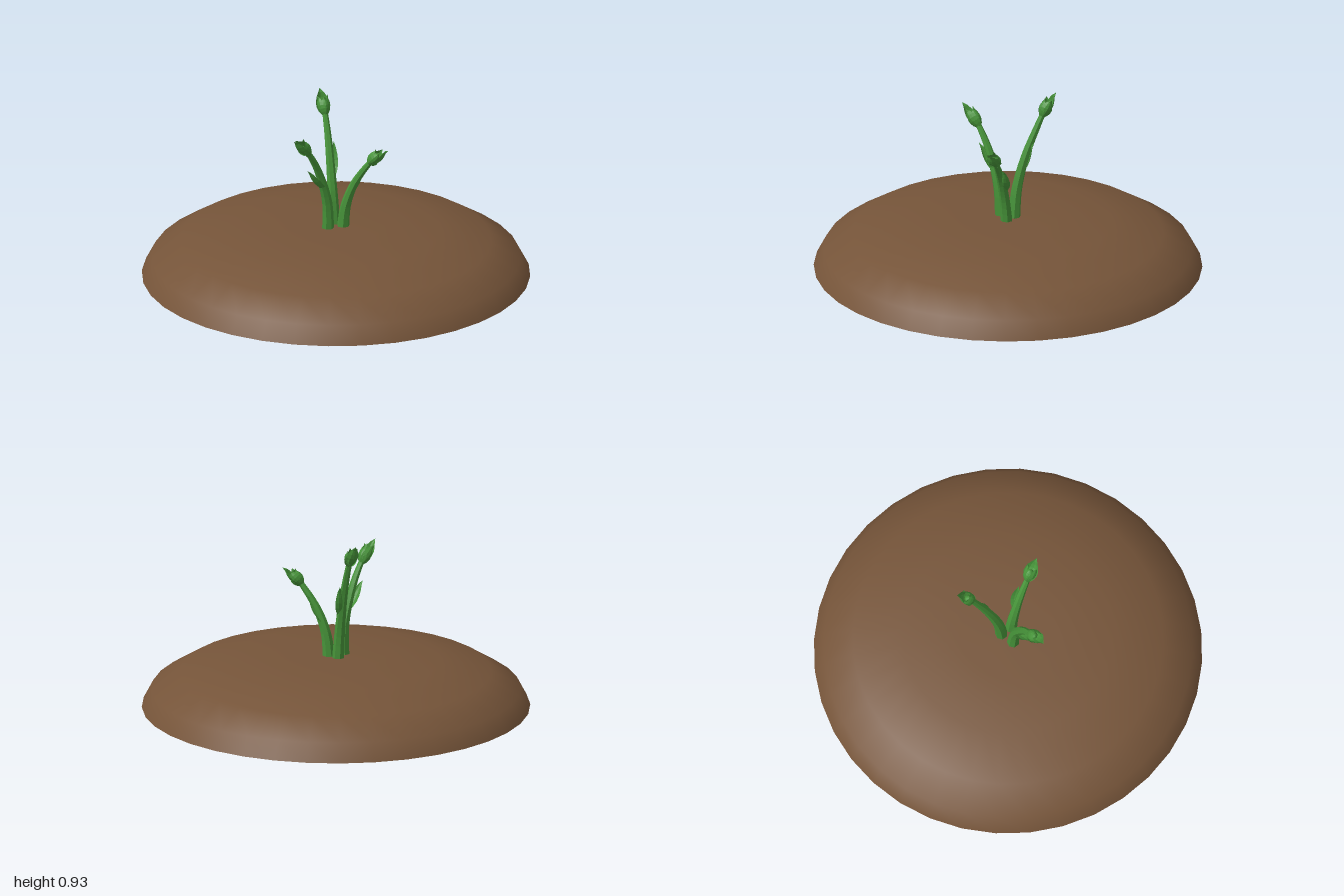
import * as THREE from 'three';

const soil = new THREE.MeshStandardMaterial({ color: 0x755439 });
soil.name = 'soil brown';
const green = new THREE.MeshStandardMaterial({ color: 0x469339, flatShading: true, side: THREE.DoubleSide });
green.name = 'sprout green';

const V = (a) => new THREE.Vector3(...a);

function add(parent, name, geometry, material) {
  const mesh = new THREE.Mesh(geometry, material);
  mesh.name = name;
  parent.add(mesh);
  return mesh;
}

// Pointed blade growing up y, bulging towards +z and cupped across its width
function bladeGeometry(length, width, base, bulge, flare) {
  const g = new THREE.PlaneGeometry(2, 1, 4, 6);
  const p = g.attributes.position;
  for (let i = 0; i < p.count; i++) {
    const u = p.getX(i), t = p.getY(i) + 0.5;
    const w = width * (0.5 * (1 - t) + 0.95 * Math.sin(Math.PI * Math.pow(t, 0.85)));
    const z = base + bulge * Math.sin(Math.PI * Math.min(1, t * 1.15)) + flare * t * t;
    p.setXYZ(i, u * w, t * length, z - 0.6 * u * u * w);
  }
  g.computeVertexNormals();
  return g;
}

// Tube narrowing towards its far end
function stemGeometry(curve, r0, r1) {
  const n = 12, sides = 7;
  const g = new THREE.TubeGeometry(curve, n, r0, sides);
  const p = g.attributes.position, v = new THREE.Vector3();
  for (let i = 0; i < p.count; i++) {
    const t = Math.floor(i / (sides + 1)) / n;
    const c = curve.getPointAt(t);
    v.fromBufferAttribute(p, i).sub(c).multiplyScalar(1 + (r1 / r0 - 1) * t).add(c);
    p.setXYZ(i, v.x, v.y, v.z);
  }
  g.computeVertexNormals();
  return g;
}

// Turn an object so its y follows the axis and its z leans outward
function orient(object, at, axis, outward) {
  const y = axis.clone().normalize();
  const z = outward.clone().addScaledVector(y, -outward.dot(y)).normalize();
  const x = new THREE.Vector3().crossVectors(y, z);
  object.quaternion.setFromRotationMatrix(new THREE.Matrix4().makeBasis(x, y, z));
  object.position.copy(at);
}

function createBud(length) {
  const bud = new THREE.Group();
  bud.name = 'bud';
  // one tall outer petal, two shorter side petals and a small inner one
  const petals = [[0, 1, 0.031], [1.75, 0.72, 0.026], [-1.75, 0.72, 0.026], [Math.PI, 0.65, 0.022]];
  for (const [angle, scale, width] of petals) {
    const flare = angle === 0 ? 0.006 : 0.02;
    add(bud, 'petal', bladeGeometry(length * scale, width, 0.012, 0.018, flare), green).rotation.y = angle;
  }
  const core = add(bud, 'budCore', new THREE.SphereGeometry(0.024, 7, 5), green);
  core.scale.y = 1.5;
  core.position.y = 0.035;
  return bud;
}

// Stem path, bud tip, and the base and tip of the side leaf
const sprouts = [
  {
    path: [[-0.01, 0.24, -0.03], [-0.02, 0.42, -0.045], [-0.035, 0.6, -0.09], [-0.05, 0.73, -0.14], [-0.064, 0.82, -0.178]],
    tip: [-0.088, 0.935, -0.232], leaf: [[-0.025, 0.5, -0.065], [-0.015, 0.68, -0.13]],
  },
  {
    path: [[0.035, 0.24, 0.005], [0.05, 0.38, 0.015], [0.09, 0.5, 0.03], [0.135, 0.58, 0.045], [0.18, 0.645, 0.06]],
    tip: [0.26, 0.73, 0.082], leaf: [[0.075, 0.45, 0.015], [0.145, 0.59, 0.02]],
  },
  {
    path: [[-0.04, 0.24, 0.035], [-0.045, 0.42, 0.05], [-0.08, 0.58, 0.09], [-0.11, 0.67, 0.125], [-0.138, 0.73, 0.155]],
    tip: [-0.2, 0.835, 0.23], leaf: [[-0.06, 0.49, 0.065], [-0.14, 0.63, 0.15]],
  },
];

function createSprout({ path, tip, leaf }) {
  const sprout = new THREE.Group();
  sprout.name = 'sprout';
  const curve = new THREE.CatmullRomCurve3(path.map(V));
  add(sprout, 'stem', stemGeometry(curve, 0.033, 0.015), green);

  const end = V(path[path.length - 1]), axis = V(tip).sub(end);
  const outward = axis.clone().setY(0);
  const bud = createBud(axis.length() + 0.015);
  orient(bud, end.addScaledVector(axis, -0.1), axis, outward);
  sprout.add(bud);

  const root = V(leaf[0]), lean = V(leaf[1]).sub(root);
  const blade = add(sprout, 'leaf', bladeGeometry(lean.length(), 0.024, 0.004, 0.012, 0), green);
  orient(blade, root, lean, outward);
  return sprout;
}

export function createModel() {
  const model = new THREE.Group();
  model.name = 'sproutOnMound';

  // Low rounded mound with a flat underside
  const profile = [[1, 0], [0.95, 0.095], [0.8, 0.188], [0.54, 0.253], [0.25, 0.268], [0, 0.27]];
  add(model, 'mound', new THREE.LatheGeometry(profile.map(([x, y]) => new THREE.Vector2(x, y)), 36), soil);
  add(model, 'moundBase', new THREE.CircleGeometry(1, 36), soil).rotation.set(Math.PI / 2, 0, Math.PI / 2);

  for (const s of sprouts) model.add(createSprout(s));
  return model;
}
